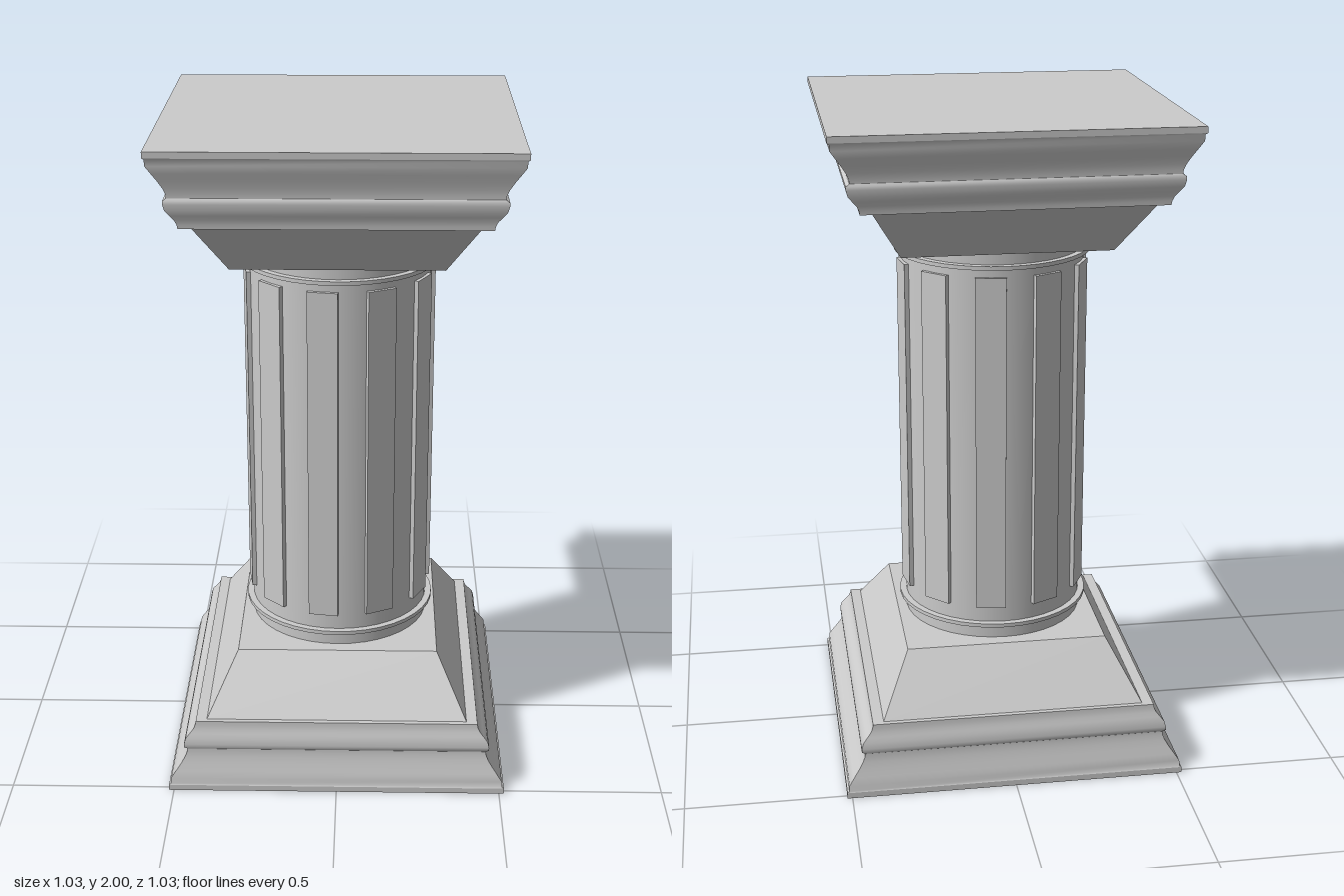
import * as THREE from 'three';
import { toCreasedNormals } from 'three/addons/utils/BufferGeometryUtils.js';

const material = new THREE.MeshStandardMaterial({ color: 0xcccccc, side: THREE.DoubleSide });

function add(parent, name, geometry, y = 0) {
  const mesh = new THREE.Mesh(geometry, material);
  mesh.name = name;
  mesh.position.y = y;
  parent.add(mesh);
  return mesh;
}

// Rectangular shell through levels [halfX, halfZ, y], open at the bottom
function shell(levels) {
  const corners = [[1, 1], [1, -1], [-1, -1], [-1, 1]];
  const positions = [];
  const point = ([hx, hz, y], c) => [corners[c % 4][0] * hx, y, corners[c % 4][1] * hz];
  for (let i = 0; i < levels.length - 1; i++) {
    const lo = levels[i], hi = levels[i + 1];
    for (let c = 0; c < 4; c++) {
      const a = point(lo, c), b = point(lo, c + 1), d = point(hi, c), e = point(hi, c + 1);
      positions.push(...a, ...b, ...e, ...a, ...e, ...d);
    }
  }
  const geometry = new THREE.BufferGeometry();
  geometry.setAttribute('position', new THREE.Float32BufferAttribute(positions, 3));
  return toCreasedNormals(geometry, 0.6);
}

function plate(halfX, halfZ) {
  return new THREE.PlaneGeometry(halfX * 2, halfZ * 2).rotateX(-Math.PI / 2);
}

// Stepped plinth: moulding, sloped block and flat top
function plinth(name) {
  const group = new THREE.Group();
  group.name = name;
  // Moulding profile as [inset, height]; shallower on the front and back
  const profile = [
    [0, 0], [0, 0.018], [0.006, 0.022], [0.007, 0.04], [0.022, 0.062], [0.038, 0.085],
    [0.05, 0.105], [0.057, 0.122], [0.058, 0.133], [0.048, 0.14], [0.048, 0.15],
    [0.053, 0.168], [0.065, 0.183], [0.077, 0.197], [0.083, 0.21], [0.085, 0.222], [0.118, 0.222],
  ];
  add(group, 'moulding', shell(profile.map(([d, y]) => [0.515 - d, 0.515 - 0.46 * d, y])));
  add(group, 'slopedBlock', shell([[0.397, 0.461, 0.222], [0.307, 0.318, 0.385]]));
  add(group, 'neckPlate', plate(0.307, 0.318), 0.385);
  return group;
}

export function createModel() {
  const model = new THREE.Group();
  model.name = 'column';

  model.add(plinth('base'));

  // Capital is the base turned upside down, closed by a slab top
  const capital = plinth('capital');
  capital.rotation.x = Math.PI;
  capital.position.y = 2;
  model.add(capital);
  add(model, 'capitalTop', plate(0.515, 0.515), 2);

  // Round shaft
  add(model, 'shaft', new THREE.CylinderGeometry(0.277, 0.277, 1.23, 40, 1, true), 1);

  // Thin collars near both ends
  for (const y of [0.433, 1.567]) {
    add(model, 'collar', new THREE.CylinderGeometry(0.297, 0.297, 0.012, 40), y);
  }

  // Ten raised flat strips, each spanning 18 degrees
  const stripRadius = 0.29, half = Math.PI / 20;
  const stripGeometry = new THREE.BoxGeometry(2 * stripRadius * Math.sin(half), 1.046, 0.03);
  stripGeometry.translate(0, 0, stripRadius * Math.cos(half) - 0.015);
  for (let i = 0; i < 10; i++) {
    add(model, 'strip', stripGeometry, 1.012).rotation.y = -half + (i * Math.PI) / 5;
  }

  return model;
}
